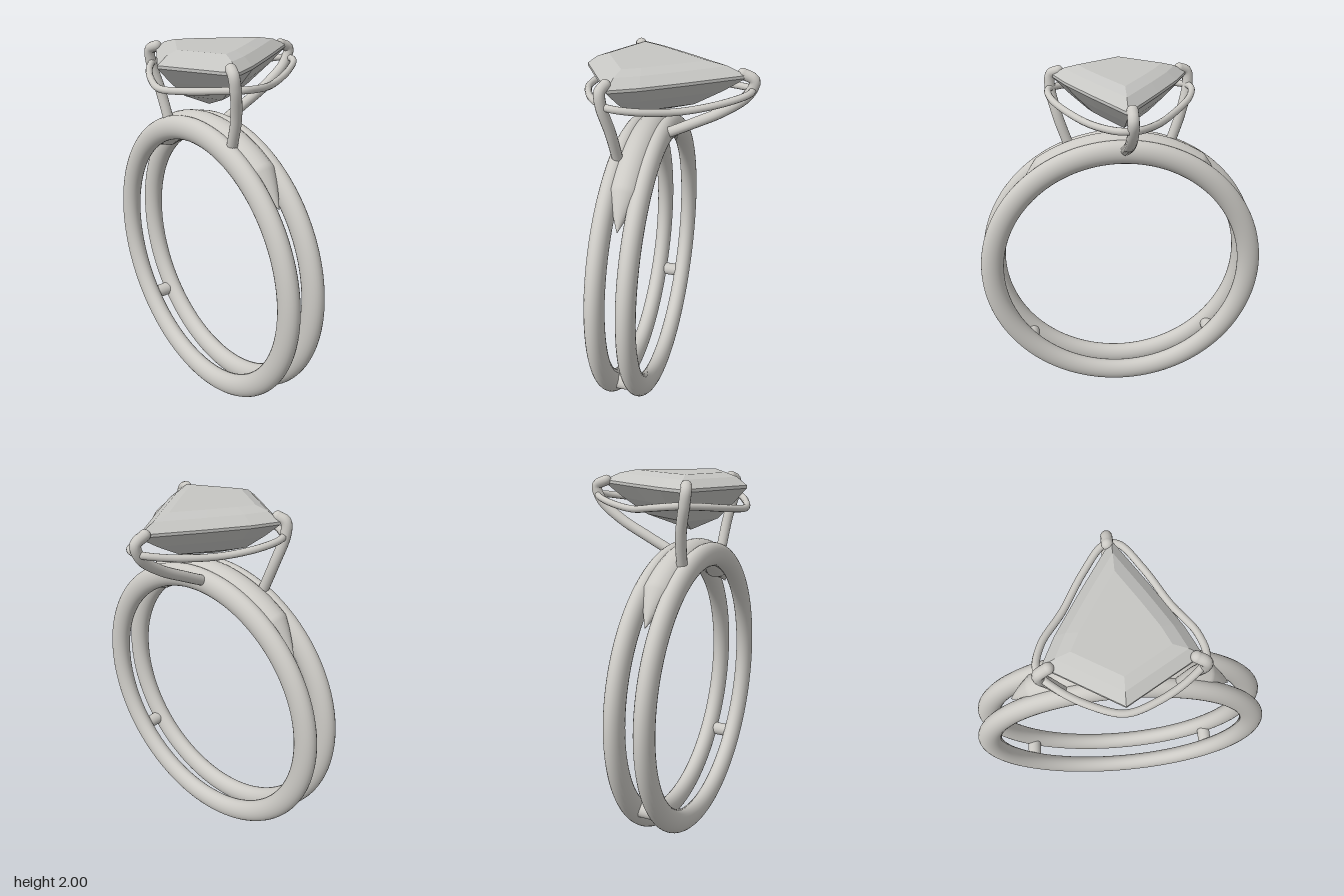
import * as THREE from 'three';

const V = (x, y, z) => new THREE.Vector3(x, y, z);

// Skin between equal-length closed rings of points (counter-clockwise about the path)
function loft(rings, flat) {
  const n = rings[0].length, pos = [], idx = [];
  rings.forEach(r => r.forEach(p => pos.push(p.x, p.y, p.z)));
  for (let i = 0; i < rings.length - 1; i++) {
    for (let j = 0; j < n; j++) {
      const a = i * n + j, b = i * n + (j + 1) % n;
      idx.push(a, b, a + n, b, b + n, a + n);
    }
  }
  let g = new THREE.BufferGeometry();
  g.setAttribute('position', new THREE.Float32BufferAttribute(pos, 3));
  g.setIndex(idx);
  if (flat) g = g.toNonIndexed();
  g.computeVertexNormals();
  return g;
}

export function createModel() {
  const metal = new THREE.MeshStandardMaterial({ color: 0xcccac5 });
  metal.name = 'polished metal';
  const stone = new THREE.MeshStandardMaterial({ color: 0xc6c6c3 });
  stone.name = 'pale stone';

  const model = new THREE.Group();
  model.name = 'ring';
  const add = (name, geometry, material = metal, parent = model) => {
    const mesh = new THREE.Mesh(geometry, material);
    mesh.name = name;
    parent.add(mesh);
    return mesh;
  };

  const R = 0.75, CY = 0.815, MID = 0.13;

  // Two parallel bands with an oval section
  for (const [name, z] of [['frontBand', 0.21], ['backBand', 0.05]]) {
    const band = add(name, new THREE.TorusGeometry(R, 0.065, 24, 128));
    band.scale.z = 0.77;
    band.position.set(0, CY, z);
  }

  // Saddle filling the gap at the top, tapering to a point at both ends
  const full = 34, tip = 49, rings = [];
  for (let d = -tip; d <= tip; d++) {
    const a = THREE.MathUtils.degToRad(d);
    const k = Math.min(1, (tip - Math.abs(d)) / (tip - full));
    const ring = [];
    for (let j = 0; j < 24; j++) {
      const t = j / 24 * Math.PI * 2;
      const r = R + 0.081 * k * Math.cos(t);
      ring.push(V(r * Math.sin(a), CY + r * Math.cos(a), MID + 0.082 * k * Math.sin(t)));
    }
    rings.push(ring);
  }
  add('saddle', loft(rings));

  // Small pins joining the bands low on each side
  for (const s of [-1, 1]) {
    const pin = add(s > 0 ? 'leftPin' : 'rightPin', new THREE.CylinderGeometry(0.04, 0.04, 0.14, 20));
    pin.rotation.x = Math.PI / 2;
    pin.position.set(s * 0.555, 0.31, MID);
  }

  // Claws: bent wires with rounded tips
  const claw = (name, points, radius) => {
    const group = new THREE.Group();
    group.name = name;
    model.add(group);
    const curve = new THREE.CatmullRomCurve3(points);
    add('clawWire', new THREE.TubeGeometry(curve, 40, radius, 14), metal, group);
    add('clawTip', new THREE.SphereGeometry(radius, 16, 12), metal, group)
      .position.copy(points[points.length - 1]);
  };
  for (const s of [-1, 1]) {
    claw(s > 0 ? 'leftClaw' : 'rightClaw', [
      V(s * 0.28, 1.55, 0.2), V(s * 0.335, 1.72, 0.215), V(s * 0.368, 1.87, 0.245),
      V(s * 0.36, 1.935, 0.25), V(s * 0.32, 1.955, 0.235)
    ], 0.028);
  }
  claw('backClaw', [
    V(-0.02, 1.57, 0.05), V(-0.02, 1.65, -0.11), V(-0.02, 1.735, -0.27),
    V(-0.02, 1.83, -0.39), V(-0.02, 1.91, -0.42), V(-0.02, 1.94, -0.36)
  ], 0.028);

  // Wavy rail around the stone
  const half = [
    [0.15, 1.84, 0.38], [0.29, 1.858, 0.30], [0.375, 1.865, 0.21], [0.355, 1.85, 0.08],
    [0.25, 1.825, -0.09], [0.14, 1.838, -0.28], [0.035, 1.86, -0.405]
  ];
  const railPoints = [
    V(0, 1.827, 0.423),
    ...half.map(p => V(...p)),
    ...half.slice().reverse().map(([x, y, z]) => V(-x, y, z))
  ];
  const rail = new THREE.CatmullRomCurve3(railPoints, true);
  add('rail', new THREE.TubeGeometry(rail, 160, 0.018, 12, true));

  // Kite-cut stone: the outline scaled about its middle at each height
  const outline = [[0, 0.3], [0.35, 0.09], [0.285, -0.05], [0.165, -0.25],
    [0, -0.51], [-0.165, -0.25], [-0.285, -0.05], [-0.35, 0.09]];
  const steps = [[0, 1.70], [0.5, 1.768], [0.78, 1.85], [1, 1.925], [1, 1.94],
    [0.82, 1.98], [0.62, 2], [0, 2]];
  add('stone', loft(steps.map(([k, y]) => outline.map(([x, z]) => V(x * k, y, MID + z * k))), true), stone);

  return model;
}
